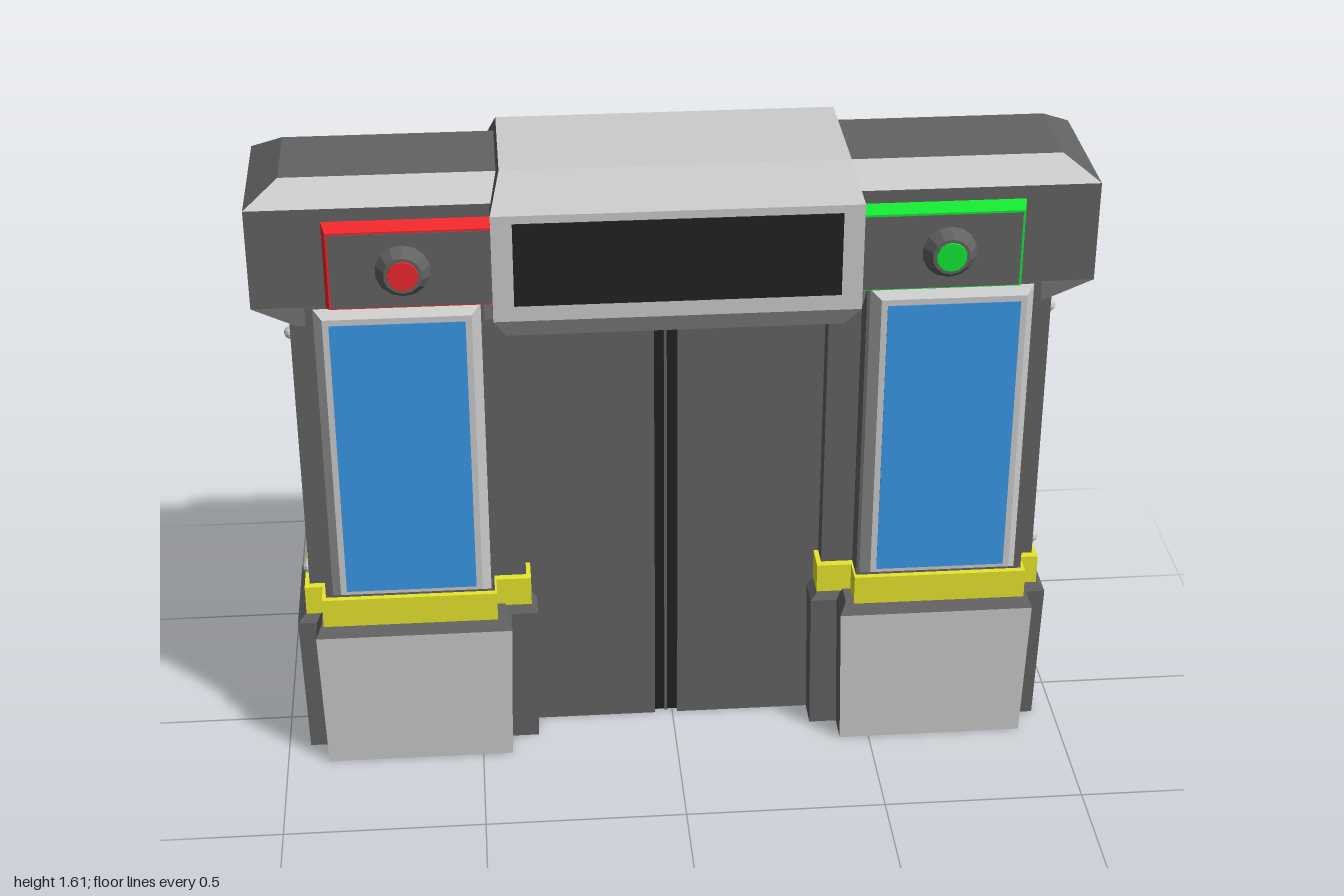
import * as THREE from 'three';

const mat = (color) => new THREE.MeshStandardMaterial({ color, flatShading: true });
const light = mat(0xcccccc), dark = mat(0x636363), black = mat(0x222222);
const blue = mat(0x3899e8), yellow = mat(0xe6e62c), red = mat(0xf0282c), green = mat(0x14e832);

// Six-sided block whose unit-box corners are placed by a rule.
// faces: material list in the order +x, -x, +y, -y, +z, -z, or one material.
function block(parent, name, faces, place) {
  const geo = new THREE.BoxGeometry(1, 1, 1);
  const p = geo.attributes.position;
  for (let i = 0; i < p.count; i++) {
    p.setXYZ(i, ...place(p.getX(i) > 0, p.getY(i) > 0, p.getZ(i) > 0));
  }
  geo.computeVertexNormals();
  const mesh = new THREE.Mesh(geo, faces);
  mesh.name = name;
  parent.add(mesh);
  return mesh;
}

// Block tapering upwards; rectangles are [x0, x1, z0, z1].
function taperY(parent, name, faces, y0, bottom, y1, top = bottom) {
  return block(parent, name, faces, (px, py, pz) => {
    const r = py ? top : bottom;
    return [r[px ? 1 : 0], py ? y1 : y0, r[pz ? 3 : 2]];
  });
}

// Block tapering from z0 to z1 (either direction); rectangles are [x0, x1, y0, y1].
function taperZ(parent, name, faces, z0, rect0, z1, rect1 = rect0) {
  return block(parent, name, faces, (px, py, pz) => {
    const outer = pz === z1 > z0;
    const r = outer ? rect1 : rect0;
    return [r[px ? 1 : 0], r[py ? 3 : 2], outer ? z1 : z0];
  });
}

function bolt(parent, x, y, z) {
  const mesh = new THREE.Mesh(new THREE.SphereGeometry(0.016, 10, 6), light);
  mesh.name = 'bolt';
  mesh.position.set(x, y, z);
  parent.add(mesh);
}

function createPillar(s) {
  const g = new THREE.Group();
  g.name = s > 0 ? 'leftPillar' : 'rightPillar';
  const lamp = s > 0 ? green : red;
  const m = ([a, b, c, d]) => (s > 0 ? [a, b, c, d] : [-b, -a, c, d]);
  const outerSide = (out, rest) => (s > 0 ? [out, rest, rest, rest, rest, rest] : [rest, out, rest, rest, rest, rest]);
  const frontBack = [dark, dark, dark, dark, light, light];

  // Cross-shaped foot
  taperY(g, 'footCore', frontBack, 0, m([0.425, 0.895, -0.215, 0.205]), 0.38, m([0.415, 0.905, -0.225, 0.212]));
  taperY(g, 'footCoreBevel', dark, 0.38, m([0.415, 0.905, -0.225, 0.212]), 0.41, m([0.43, 0.89, -0.2, 0.19]));
  taperY(g, 'footWing', outerSide(light, dark), 0, m([0.355, 0.945, -0.14, 0.13]), 0.38, m([0.348, 0.953, -0.145, 0.135]));
  taperY(g, 'footWingBevel', dark, 0.38, m([0.348, 0.953, -0.145, 0.135]), 0.41, m([0.375, 0.925, -0.13, 0.12]));

  // Yellow band around the shaft
  taperY(g, 'bandCore', yellow, 0.405, m([0.45, 0.885, -0.2, 0.195]), 0.482);
  taperY(g, 'bandWing', yellow, 0.405, m([0.363, 0.93, -0.132, 0.13]), 0.482);

  // Shaft with light outer side
  taperY(g, 'shaftCore', dark, 0.4, m([0.455, 0.875, -0.18, 0.18]), 1.3);
  taperY(g, 'shaftWing', outerSide(light, dark), 0.4, m([0.375, 0.918, -0.12, 0.11]), 1.25);

  // Blue front panel in a bevelled frame
  taperZ(g, 'panelFrame', light, 0.175, m([0.46, 0.86, 0.485, 1.285]), 0.215, m([0.485, 0.835, 0.51, 1.27]));
  taperZ(g, 'bluePanel', blue, 0.2, m([0.5, 0.82, 0.52, 1.255]), 0.217);

  // Black back panel and bolts
  taperZ(g, 'backPanel', black, -0.17, m([0.46, 0.86, 0.48, 1.29]), -0.19);
  for (const y of [0.52, 1.18]) {
    for (const x of [0.56, 0.74]) bolt(g, s * x, y, -0.19);
    for (const z of [0.09, -0.095]) bolt(g, s * 0.918, y, z);
  }

  // Coloured light frames with cover plates on both sides of the beam
  taperZ(g, 'frontLight', lamp, 0.16, m([0.4, 0.83, 1.28, 1.515]), 0.22, m([0.4, 0.815, 1.3, 1.495]));
  taperZ(g, 'frontLightCover', dark, 0.2, m([0.4, 0.81, 1.303, 1.49]), 0.222);
  taperZ(g, 'backLight', lamp, -0.17, m([0.4, 0.83, 1.28, 1.515]), -0.235, m([0.4, 0.815, 1.3, 1.495]));
  taperZ(g, 'backLightCover', black, -0.21, m([0.4, 0.81, 1.303, 1.49]), -0.237);

  // Round signal button
  const parts = [['buttonBase', 0.045, 0.066, 0.03, 0.236, dark], ['buttonLens', 0.036, 0.038, 0.01, 0.25, lamp]];
  for (const [name, r1, r0, h, z, material] of parts) {
    const mesh = new THREE.Mesh(new THREE.CylinderGeometry(r1, r0, h, 14).rotateX(Math.PI / 2), material);
    mesh.name = name;
    mesh.position.set(s * 0.64, 1.395, z);
    g.add(mesh);
  }
  return g;
}

export function createModel() {
  const model = new THREE.Group();
  model.name = 'doorway';
  for (const s of [1, -1]) model.add(createPillar(s));

  // Bevelled cross beam, light on its front and back slopes
  const beam = [-1, 1, -0.2, 0.182];
  const slopes = [dark, dark, dark, dark, light, light];
  taperY(model, 'beamUnderside', slopes, 1.21, [-0.9, 0.9, -0.13, 0.12], 1.29, beam);
  taperY(model, 'beam', dark, 1.29, beam, 1.54);
  taperY(model, 'beamTop', slopes, 1.54, beam, 1.59, [-0.92, 0.92, -0.13, 0.11]);

  // Wider centre housing with dark ends
  const hood = [-0.435, 0.435, -0.25, 0.235];
  const ends = [dark, dark, light, light, light, light];
  taperY(model, 'housingUnderside', [dark, dark, light, dark, light, light], 1.19, [-0.405, 0.405, -0.185, 0.17], 1.26, hood);
  taperY(model, 'housing', ends, 1.26, hood, 1.53);
  taperY(model, 'housingTop', ends, 1.53, hood, 1.61, [-0.41, 0.41, -0.165, 0.155]);
  taperZ(model, 'screen', black, 0.22, [-0.385, 0.385, 1.3, 1.51], 0.238);

  // Sliding door leaves and the black seal between them
  taperY(model, 'rightDoor', dark, 0, [-0.4, -0.045, -0.055, 0.055], 1.22);
  taperY(model, 'leftDoor', dark, 0, [0.013, 0.4, -0.055, 0.055], 1.22);
  taperY(model, 'doorSeal', black, 0, [-0.045, 0.013, -0.04, 0.04], 1.22);
  taperY(model, 'sealSeam', dark, 0, [-0.02, -0.013, -0.045, 0.045], 1.22);
  return model;
}
